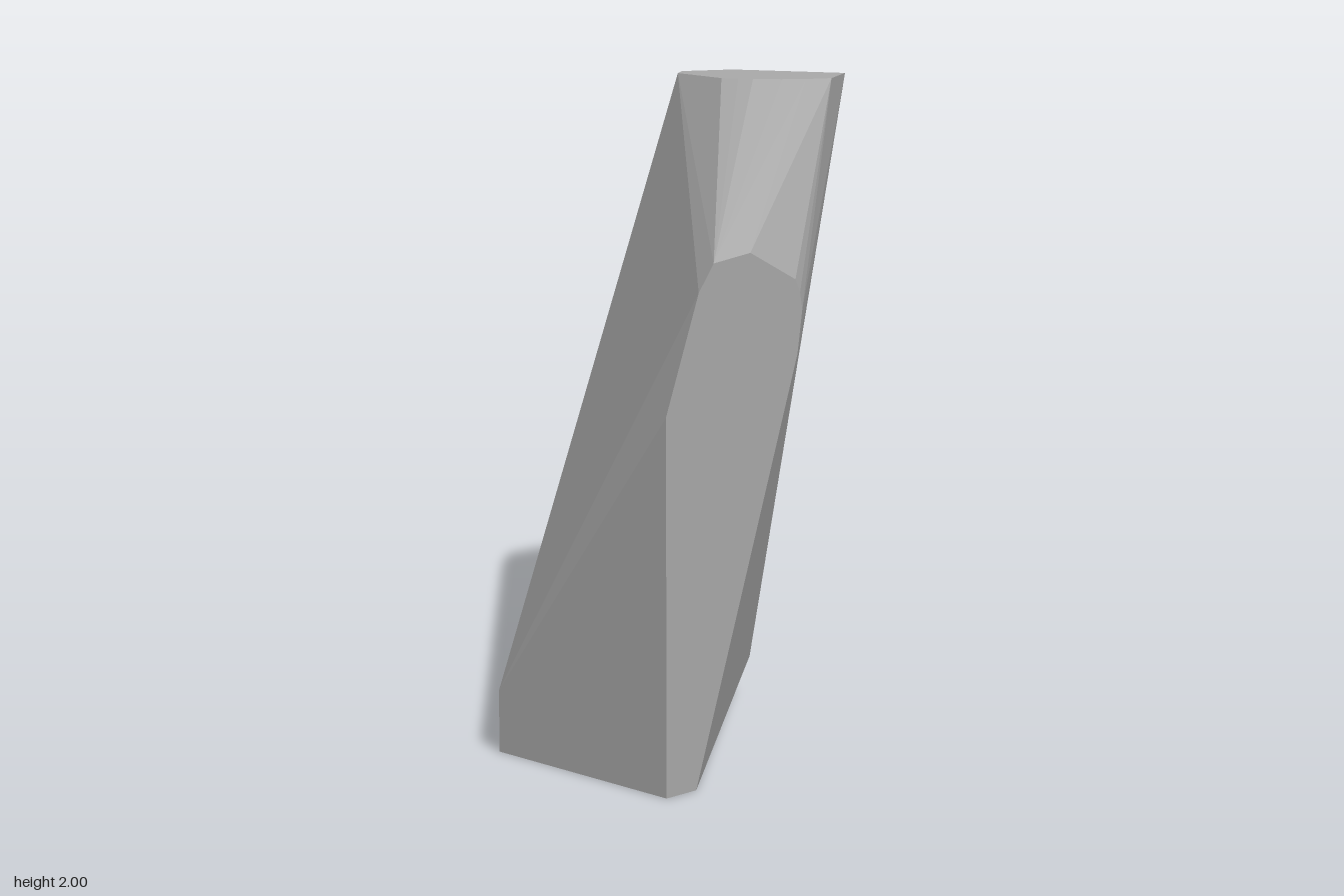
import * as THREE from 'three';
import { ConvexGeometry } from 'three/addons/geometries/ConvexGeometry.js';

export function createModel() {
  const stone = new THREE.MeshStandardMaterial({ color: 0xa8a8a8 });
  stone.name = 'grey stone';

  // flat top cut, as x, z at y = 2
  const top = [
    [-0.67, -0.86], [-0.14, -0.86], [0.17, -0.45], [0.17, -0.33], [0.13, -0.26],
    [0.06, -0.2], [0, -0.195], [-0.08, -0.2], [-0.53, -0.45], [-0.67, -0.61],
  ].map(([x, z]) => [x, 2, z]);

  // flat side cut, as y, z at x = 0.74
  const side = [
    [0, 0.86], [1.1, 0.86], [1.44, 0.73], [1.52, 0.67], [1.54, 0.52],
    [1.45, 0.33], [1.41, 0.31], [1.36, 0.3], [1.23, 0.32], [0, 0.74],
  ].map(([y, z]) => [0.74, y, z]);

  // front edge, left point, back corner and underside
  const corners = [
    [0.02, 0, 0.86], [0.02, 0.19, 0.86],
    [-0.74, 0.57, -0.08], [-0.74, 0.59, -0.15],
    [-0.67, 0.82, -0.86], [-0.7, 0.62, -0.67],
    [0.1, 0.14, -0.15], [0.05, 0.14, -0.15],
    [0.45, 0, 0.41], [0.05, 0, 0.44],
  ];

  // the rock is the faceted hull around its corners
  const points = [...top, ...side, ...corners].map((p) => new THREE.Vector3(...p));
  const rock = new THREE.Mesh(new ConvexGeometry(points), stone);
  rock.name = 'rock';

  const group = new THREE.Group();
  group.name = 'facetedRock';
  group.add(rock);
  return group;
}
